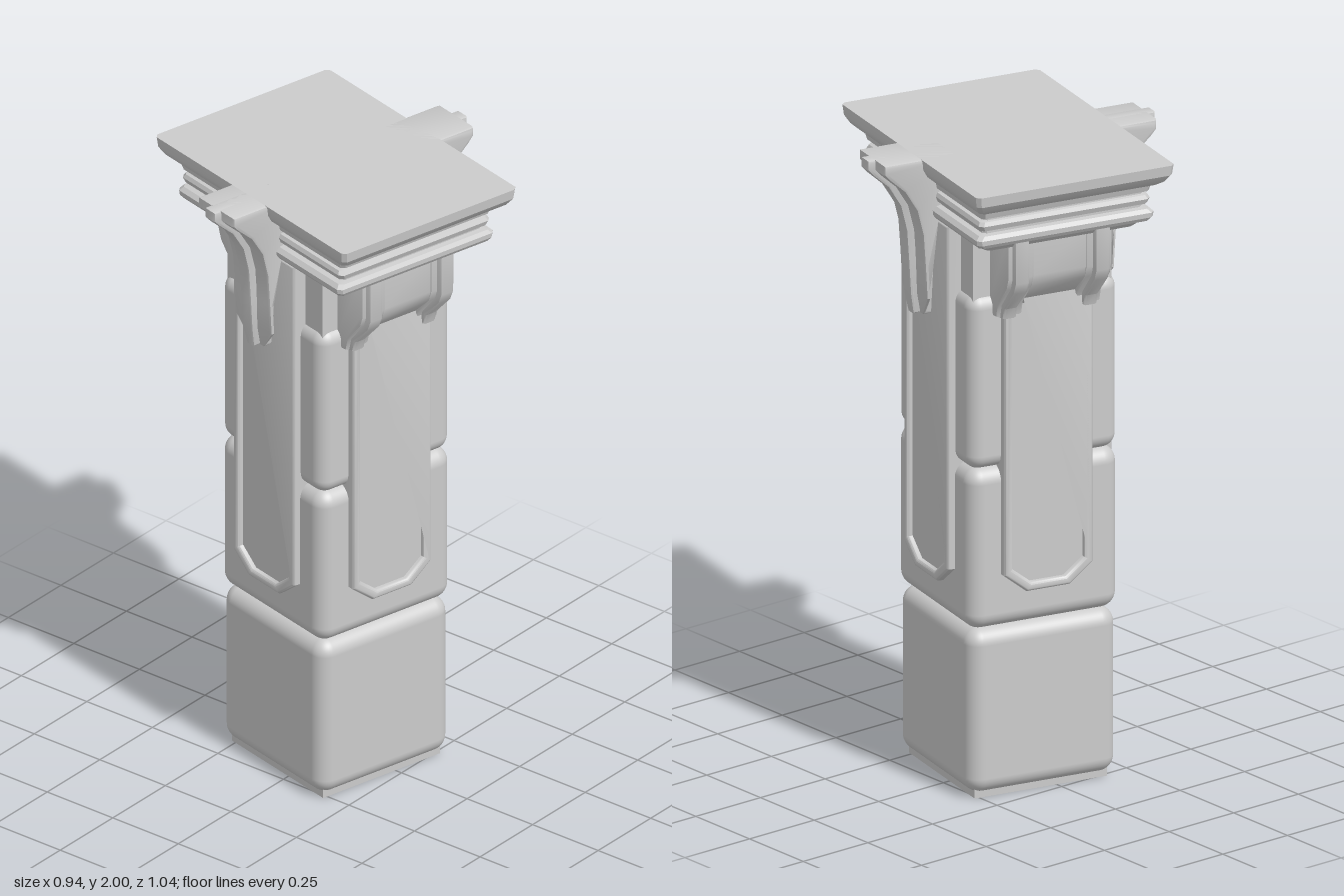
import * as THREE from 'three';
import { toCreasedNormals } from 'three/addons/utils/BufferGeometryUtils.js';
import { RoundedBoxGeometry } from 'three/addons/geometries/RoundedBoxGeometry.js';

const grey = new THREE.MeshStandardMaterial({ color: 0xcccccc });

function add(parent, name, geometry) {
  const mesh = new THREE.Mesh(geometry, grey);
  mesh.name = name;
  parent.add(mesh);
  return mesh;
}

// Stone block with soft edges, square in plan
function block(parent, name, y0, y1, half, radius) {
  const g = new RoundedBoxGeometry(half * 2, y1 - y0, half * 2, 5, radius);
  add(parent, name, g).position.y = (y0 + y1) / 2;
}

// Tall outline with a chamfered foot
function panelPoints(half, foot, y0, y1, chamfer) {
  return [[-half, y1], [-half, y0 + chamfer], [-foot, y0], [foot, y0], [half, y0 + chamfer], [half, y1]]
    .map(([x, y]) => new THREE.Vector2(x, y));
}

// Side profile (out, y) given a width; the foot can narrow below a height
function profileSolid(points, width, bevel, narrowBelow = -1, narrow = 1) {
  const shape = new THREE.Shape(points.map(([x, y]) => new THREE.Vector2(x, y)));
  const g = new THREE.ExtrudeGeometry(shape, {
    depth: width - 2 * bevel, bevelEnabled: bevel > 0, bevelSize: bevel,
    bevelThickness: bevel, bevelOffset: -bevel, bevelSegments: 2,
  });
  g.translate(0, 0, bevel - width / 2);
  const p = g.attributes.position;
  for (let i = 0; i < p.count; i++) if (p.getY(i) < narrowBelow) p.setZ(i, p.getZ(i) * narrow);
  return toCreasedNormals(g, 0.6);
}

// Stacked rectangular rings [y, halfX, halfZ] with clipped corners, capped at both ends
function loft(rings, clip) {
  const pos = [], idx = [], n = 8;
  for (const [y, a, b] of rings) {
    const c = a - clip, d = b - clip;
    for (const [x, z] of [[a, d], [a, -d], [c, -b], [-c, -b], [-a, -d], [-a, d], [-c, b], [c, b]]) pos.push(x, y, z);
  }
  for (let r = 0; r < rings.length - 1; r++) for (let i = 0; i < n; i++) {
    const p = r * n + i, q = r * n + (i + 1) % n;
    idx.push(p, q, q + n, p, q + n, p + n);
  }
  const t = (rings.length - 1) * n;
  for (let i = 1; i < n - 1; i++) idx.push(0, i + 1, i, t, t + i, t + i + 1);
  const g = new THREE.BufferGeometry();
  g.setAttribute('position', new THREE.Float32BufferAttribute(pos, 3));
  g.setIndex(idx);
  return toCreasedNormals(g, 0.5);
}

// Recessed panel with a raised frame, facing +x
function addPanel(face) {
  const inner = new THREE.Shape(panelPoints(0.13, 0.06, 0.665, 1.79, 0.05));
  const slab = new THREE.ExtrudeGeometry(inner, { depth: 0.1, bevelEnabled: false });
  add(face, 'panel', slab.rotateY(Math.PI / 2).translate(0.157, 0, 0));

  const ring = new THREE.Shape(panelPoints(0.147, 0.072, 0.65, 1.8, 0.06));
  ring.holes.push(new THREE.Path(panelPoints(0.12, 0.056, 0.678, 1.785, 0.05).reverse()));
  const frame = new THREE.ExtrudeGeometry(ring, {
    depth: 0.1, bevelSize: 0.008, bevelThickness: 0.01, bevelOffset: -0.008, bevelSegments: 3,
  });
  add(face, 'panelFrame', toCreasedNormals(frame.rotateY(Math.PI / 2).translate(0.165, 0, 0), 0.7));
}

// Pair of flared supports with a sloped infill between them, facing +x
function addFlare(face) {
  const infill = [[0.2, 1.55], [0.255, 1.56], [0.275, 1.585], [0.335, 1.645], [0.345, 1.68], [0.345, 1.81], [0.2, 1.81]];
  add(face, 'flareInfill', profileSolid(infill, 0.2, 0));
  const outer = [[0.2, 1.53], [0.268, 1.535], [0.278, 1.575], [0.338, 1.645], [0.35, 1.68], [0.35, 1.81], [0.2, 1.81]];
  const rib = [[0.2, 1.52], [0.28, 1.53], [0.29, 1.565], [0.355, 1.635], [0.37, 1.67], [0.37, 1.81], [0.2, 1.81]];
  for (const s of [-1, 1]) {
    add(face, 'flareSupport', profileSolid(outer, 0.088, 0.008)).position.z = s * 0.13;
    add(face, 'flareRib', profileSolid(rib, 0.05, 0.01)).position.z = s * 0.134;
  }
}

// Single curved bracket reaching the top slab, facing +x
function addBracket(face) {
  const body = [[0.22, 1.49], [0.3, 1.49], [0.312, 1.555], [0.318, 1.66], [0.325, 1.76],
    [0.345, 1.84], [0.385, 1.905], [0.435, 1.95], [0.453, 1.97], [0.453, 2], [0.22, 2]];
  add(face, 'bracket', profileSolid(body, 0.176, 0.01, 1.52, 0.45));
  const rib = body.map(([x, y]) => [x > 0.25 ? x + 0.024 : x, y]);
  add(face, 'bracketRib', profileSolid(rib, 0.052, 0.008, 1.52, 0.7));
}

export function createModel() {
  const root = new THREE.Group();
  root.name = 'pillar';
  const pillar = new THREE.Group();
  pillar.name = 'pillarBody';
  pillar.rotation.y = -0.232;
  root.add(pillar);

  // Shaft
  add(pillar, 'basePlate', new THREE.BoxGeometry(0.44, 0.03, 0.44)).position.y = 0.015;
  block(pillar, 'baseBlock', 0.015, 0.537, 0.246, 0.05);
  block(pillar, 'middleBlock', 0.537, 1.05, 0.25, 0.05);
  block(pillar, 'upperBlock', 1.045, 1.6, 0.248, 0.045);
  add(pillar, 'core', new THREE.BoxGeometry(0.4, 1.7, 0.4)).position.y = 0.95;
  add(pillar, 'neck', new THREE.BoxGeometry(0.46, 0.3, 0.46)).position.y = 1.67;

  // Stepped capital and top slab
  add(pillar, 'capital', loft([
    [1.785, 0.245, 0.35], [1.8, 0.26, 0.365], [1.808, 0.282, 0.385], [1.82, 0.292, 0.393],
    [1.835, 0.294, 0.394], [1.847, 0.282, 0.386], [1.85, 0.265, 0.37], [1.858, 0.265, 0.37],
    [1.862, 0.278, 0.382], [1.878, 0.284, 0.388], [1.89, 0.278, 0.382], [1.893, 0.266, 0.374],
    [1.9, 0.266, 0.374], [1.904, 0.28, 0.39], [1.922, 0.284, 0.396], [1.93, 0.295, 0.415],
    [1.945, 0.312, 0.438], [1.968, 0.325, 0.455], [2, 0.3285, 0.4585],
  ], 0.012));

  // Four faces: brackets left and right, flares front and back
  ['leftFace', 'frontFace', 'rightFace', 'backFace'].forEach((name, i) => {
    const face = new THREE.Group();
    face.name = name;
    face.rotation.y = -i * Math.PI / 2;
    addPanel(face);
    if (i % 2) addFlare(face);
    else addBracket(face);
    pillar.add(face);
  });
  return root;
}
